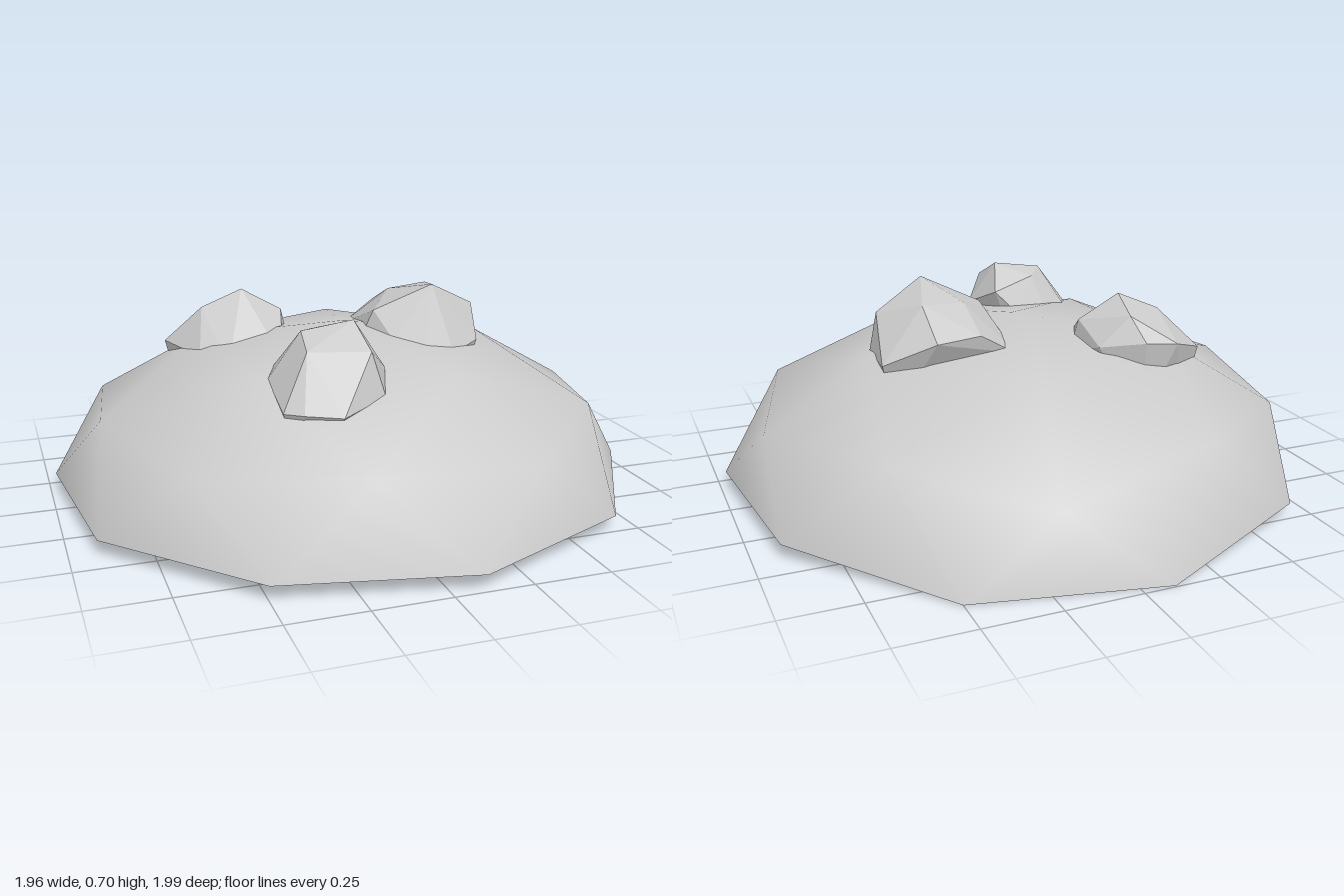
import * as THREE from 'three';
import { ConvexGeometry } from 'three/addons/geometries/ConvexGeometry.js';

// Open dome: the upper half of a once-subdivided icosahedron, flattened, one side sagging
function makeDome() {
  const RISE = 0.52, BASE = 0.05, SAG_ANGLE = 282;
  const points = [];
  const add = (degrees, radius, height) => {
    const a = THREE.MathUtils.degToRad(degrees);
    const sag = radius > 0.86 && Math.abs(degrees - SAG_ANGLE) < 20 ? 0.05 : 0;
    points.push(radius * Math.cos(a), BASE + RISE * height - sag, radius * Math.sin(a));
  };
  add(0, 0, 1); // apex = 0
  for (let k = 0; k < 5; k++) {
    const a = -6 + 72 * k;
    add(a, 0.526, 0.85);       // upper ring
    add(a, 0.894, 0.447);      // shoulder corner
    add(a + 36, 0.851, 0.526); // shoulder between corners
    add(a + 18, 1, 0);         // rim
    add(a + 54, 1, 0);         // rim
  }
  const index = [];
  for (let k = 0; k < 5; k++) {
    const at = (sector, j) => 1 + 5 * ((sector + 5) % 5) + j;
    const [upper, corner, between, rimA, rimB] = [0, 1, 2, 3, 4].map((j) => at(k, j));
    const nextUpper = at(k + 1, 0), nextCorner = at(k + 1, 1), lastRim = at(k - 1, 4);
    index.push(
      0, nextUpper, upper,
      upper, between, corner,
      upper, nextUpper, between,
      nextUpper, nextCorner, between,
      corner, between, rimA,
      between, rimB, rimA,
      between, nextCorner, rimB,
      corner, rimA, lastRim,
    );
  }
  const geo = new THREE.BufferGeometry();
  geo.setAttribute('position', new THREE.Float32BufferAttribute(points, 3));
  geo.setIndex(index);
  geo.computeVertexNormals();
  return geo;
}

// Faceted stone: crown and waist corners, with a blunt underside tapering from the waist
function makeStone(crown, waist, bottomY) {
  const top = crown.map((p) => new THREE.Vector3(...p));
  const mid = waist.map((p) => new THREE.Vector3(...p));
  const centre = new THREE.Vector3();
  mid.forEach((p) => centre.addScaledVector(p, 1 / mid.length));
  const under = mid.filter((p, i) => i % 2 === 0).map((p, i) => {
    const q = p.clone().lerp(centre, 0.24);
    q.y = bottomY + 0.06 + 0.03 * (i % 2);
    return q;
  });
  const foot = centre.clone().setY(bottomY);
  return new ConvexGeometry([...top, ...mid, ...under, foot]);
}

export function createModel() {
  const model = new THREE.Group();
  model.name = 'domeWithStones';

  const dome = new THREE.Mesh(
    makeDome(),
    new THREE.MeshStandardMaterial({ color: 0xcccccc, side: THREE.DoubleSide }),
  );
  dome.name = 'dome';
  model.add(dome);

  const stoneMaterial = new THREE.MeshStandardMaterial({ color: 0xcccccc, flatShading: true });
  const stones = {
    leftStone: makeStone(
      [[0.29, 0.70, 0.11], [0.36, 0.66, -0.12], [0.21, 0.65, -0.10], [0.47, 0.61, 0.04],
        [0.10, 0.61, 0.05], [0.21, 0.58, -0.26], [0.36, 0.57, -0.27]],
      [[0.515, 0.49, -0.175], [0.50, 0.48, 0.03], [0.45, 0.50, 0.14], [0.33, 0.48, 0.22],
        [0.23, 0.50, 0.22], [0.14, 0.52, 0.15], [0.06, 0.51, 0.03], [0.08, 0.50, -0.23]],
      0.25,
    ),
    rearStone: makeStone(
      [[-0.30, 0.66, -0.21], [-0.44, 0.60, -0.23], [-0.27, 0.62, -0.36], [-0.16, 0.58, -0.20]],
      [[-0.14, 0.47, -0.18], [-0.21, 0.45, 0], [-0.40, 0.44, 0], [-0.48, 0.46, -0.09],
        [-0.56, 0.47, -0.31], [-0.41, 0.53, -0.43], [-0.30, 0.54, -0.42], [-0.17, 0.52, -0.34]],
      0.18,
    ),
    frontStone: makeStone(
      [[-0.08, 0.66, 0.36], [-0.25, 0.635, 0.35], [-0.27, 0.60, 0.48], [-0.07, 0.59, 0.50],
        [-0.19, 0.62, 0.27], [-0.035, 0.58, 0.24]],
      [[0.01, 0.51, 0.40], [-0.03, 0.45, 0.52], [-0.19, 0.42, 0.60], [-0.305, 0.43, 0.57],
        [-0.36, 0.43, 0.53], [-0.36, 0.49, 0.355], [-0.315, 0.50, 0.25], [-0.225, 0.50, 0.22],
        [-0.11, 0.50, 0.21]],
      0.26,
    ),
  };
  for (const [name, geometry] of Object.entries(stones)) {
    const stone = new THREE.Mesh(geometry, stoneMaterial);
    stone.name = name;
    model.add(stone);
  }
  return model;
}
